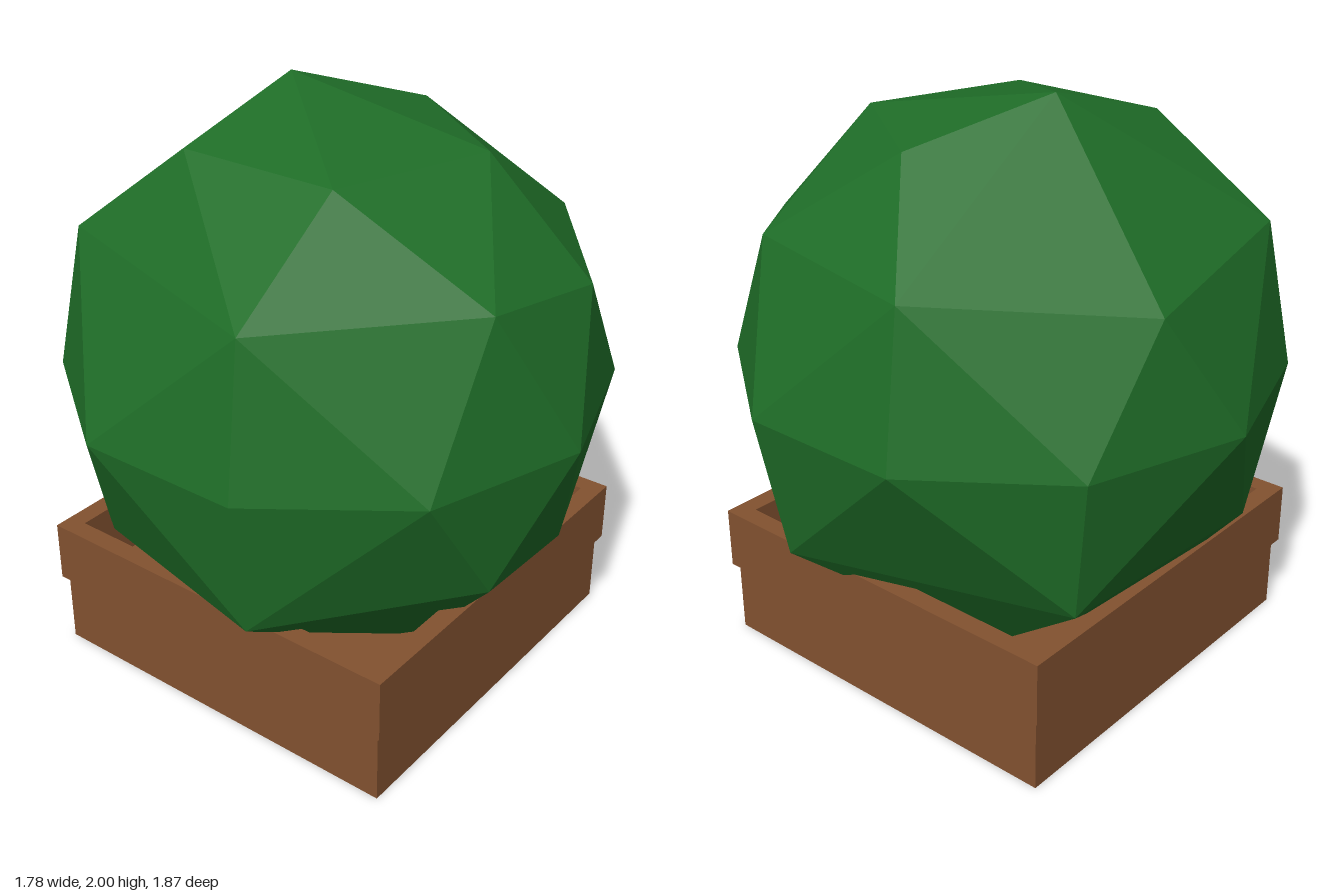
import * as THREE from 'three';
import { ConvexGeometry } from 'three/addons/geometries/ConvexGeometry.js';

const LEAF = new THREE.MeshStandardMaterial({ color: 0x1f6e28, flatShading: true });
const WOOD = new THREE.MeshStandardMaterial({ color: 0x835230 });

function addMesh(parent, name, geometry, material, y = 0) {
  const mesh = new THREE.Mesh(geometry, material);
  mesh.name = name;
  mesh.position.y = y;
  parent.add(mesh);
}

// Points on a horizontal ring, angles in degrees counter-clockwise from +x seen from above
function ring(radius, y, angles) {
  return angles.map((deg) => {
    const a = THREE.MathUtils.degToRad(deg);
    return new THREE.Vector3(radius * Math.cos(a), y, -radius * Math.sin(a));
  });
}

// Faceted crown: a coarse icosphere with a few neighbouring corners merged
function crownGeometry() {
  return new ConvexGeometry([
    new THREE.Vector3(0.08, 2, -0.25),
    ...ring(0.49, 1.86, [0, 144, 216, 288]),
    ...ring(0.795, 1.54, [252, 324]),
    ...ring(0.84, 1.54, [18, 126, 198]),
    ...ring(0.836, 1.472, [72, 288]),
    ...ring(0.935, 1.04, [18, 54, 90, 126, 162, 198, 234, 270, 306, 342]),
    ...ring(0.836, 0.605, [108, 252]),
    ...ring(0.84, 0.53, [54, 198, 342]),
    ...ring(0.795, 0.53, [144, 288]),
    ...ring(0.49, 0.22, [36, 108, 180, 252, 324]),
    new THREE.Vector3(0, 0.08, 0),
  ]);
}

// Square outline with the given half width
function square(path, h) {
  path.moveTo(-h, -h);
  path.lineTo(h, -h);
  path.lineTo(h, h);
  path.lineTo(-h, h);
  path.closePath();
  return path;
}

export function createModel() {
  const model = new THREE.Group();
  model.name = 'pottedBush';

  // Planter base
  addMesh(model, 'planterBase', new THREE.BoxGeometry(1.36, 0.26, 1.36), WOOD, 0.13);

  // Slightly wider hollow rim
  const outline = square(new THREE.Shape(), 0.698);
  outline.holes.push(square(new THREE.Path(), 0.63));
  const rim = new THREE.ExtrudeGeometry(outline, { depth: 0.217, bevelEnabled: false });
  rim.rotateX(-Math.PI / 2);
  addMesh(model, 'planterRim', rim, WOOD, 0.26);

  // Foliage
  addMesh(model, 'bushCrown', crownGeometry(), LEAF);
  return model;
}
